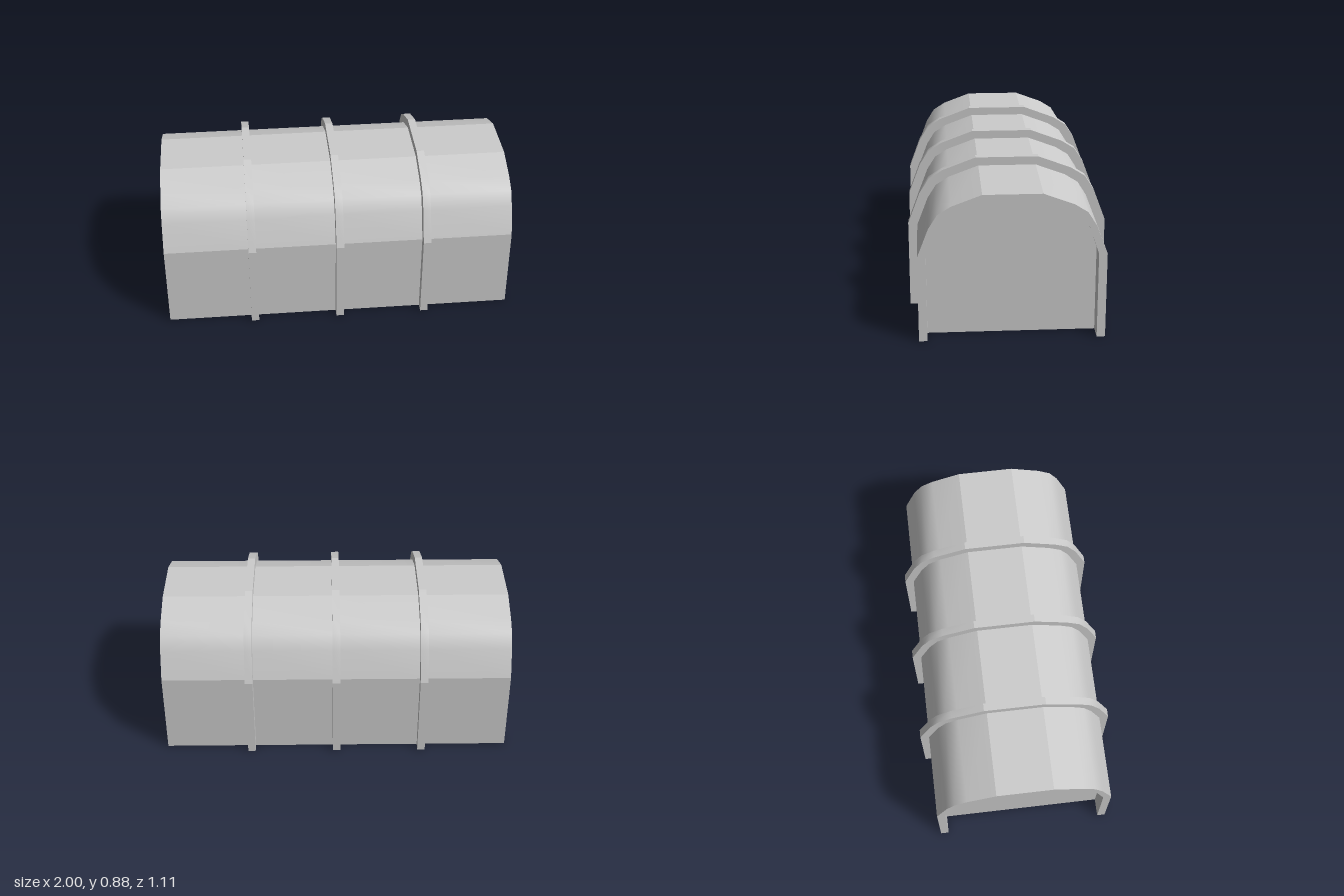
import * as THREE from 'three';
import { mergeGeometries } from 'three/addons/utils/BufferGeometryUtils.js';

const material = new THREE.MeshStandardMaterial({ color: 0xcccccc, side: THREE.DoubleSide });

// Half arch as [z, y], mirrored into a full arch from +z foot to -z foot
const arch = half => [...half, ...half.map(([z, y]) => [-z, y]).reverse()];
const INNER = arch([[0.46, 0], [0.46, 0.49], [0.405, 0.65], [0.36, 0.715], [0.295, 0.757], [0.14, 0.813]]);
const SHELL = arch([[0.506, 0], [0.506, 0.49], [0.445, 0.65], [0.397, 0.727], [0.325, 0.773], [0.16, 0.835]]);
const RIB = arch([[0.557, 0], [0.557, 0.5], [0.49, 0.68], [0.438, 0.762], [0.36, 0.812], [0.175, 0.882]]);

// Point ranges that shade smoothly: wall, haunch, crown, haunch, wall
const FACETS = [[0, 1], [1, 5], [5, 6], [6, 10], [10, 11]];

// Skin between successive [x, arch] stations, with sharp edges between facets
function loft(stations) {
  const pieces = [];
  for (let s = 0; s < stations.length - 1; s++) {
    for (const [from, to] of FACETS) {
      const positions = [], index = [];
      for (let i = from; i <= to; i++) {
        for (const [x, p] of [stations[s], stations[s + 1]]) positions.push(x, p[i][1], p[i][0]);
      }
      for (let k = 0; k < (to - from) * 2; k += 2) index.push(k, k + 1, k + 2, k + 1, k + 3, k + 2);
      const g = new THREE.BufferGeometry();
      g.setAttribute('position', new THREE.Float32BufferAttribute(positions, 3));
      g.setIndex(index);
      g.computeVertexNormals();
      pieces.push(g);
    }
  }
  return mergeGeometries(pieces);
}

export function createModel() {
  const model = new THREE.Group();
  model.name = 'archedShelter';
  const add = (name, geometry) => {
    const mesh = new THREE.Mesh(geometry, material);
    mesh.name = name;
    model.add(mesh);
    return mesh;
  };

  // Thin roof skin in four bays, leaving gaps for the hollow ribs
  const ribs = [-0.5, 0, 0.5], w = 0.022;
  const starts = [-1, ...ribs.map(x => x + w)];
  const ends = [...ribs.map(x => x - w), 1];
  starts.forEach((x, i) => add('roofBay' + (i + 1), loft([[x, SHELL], [ends[i], SHELL]])));

  // Ribs are channels raised from the skin and open inside
  ribs.forEach((x, i) => add('rib' + (i + 1),
    loft([[x - w, SHELL], [x - w, RIB], [x + w, RIB], [x + w, SHELL]])));

  // End rims with their recessed reveals
  add('rightEndRim', loft([[-0.9, INNER], [-1, INNER], [-1, SHELL]]));
  add('leftEndRim', loft([[1, SHELL], [1, INNER], [0.9, INNER]]));

  // Recessed end walls
  const wall = new THREE.ShapeGeometry(new THREE.Shape(INNER.map(([z, y]) => new THREE.Vector2(z, y))));
  for (const side of [-1, 1]) {
    const mesh = add(side < 0 ? 'rightEndWall' : 'leftEndWall', wall);
    mesh.rotation.y = side * Math.PI / 2;
    mesh.position.x = side * 0.9;
  }
  return model;
}
